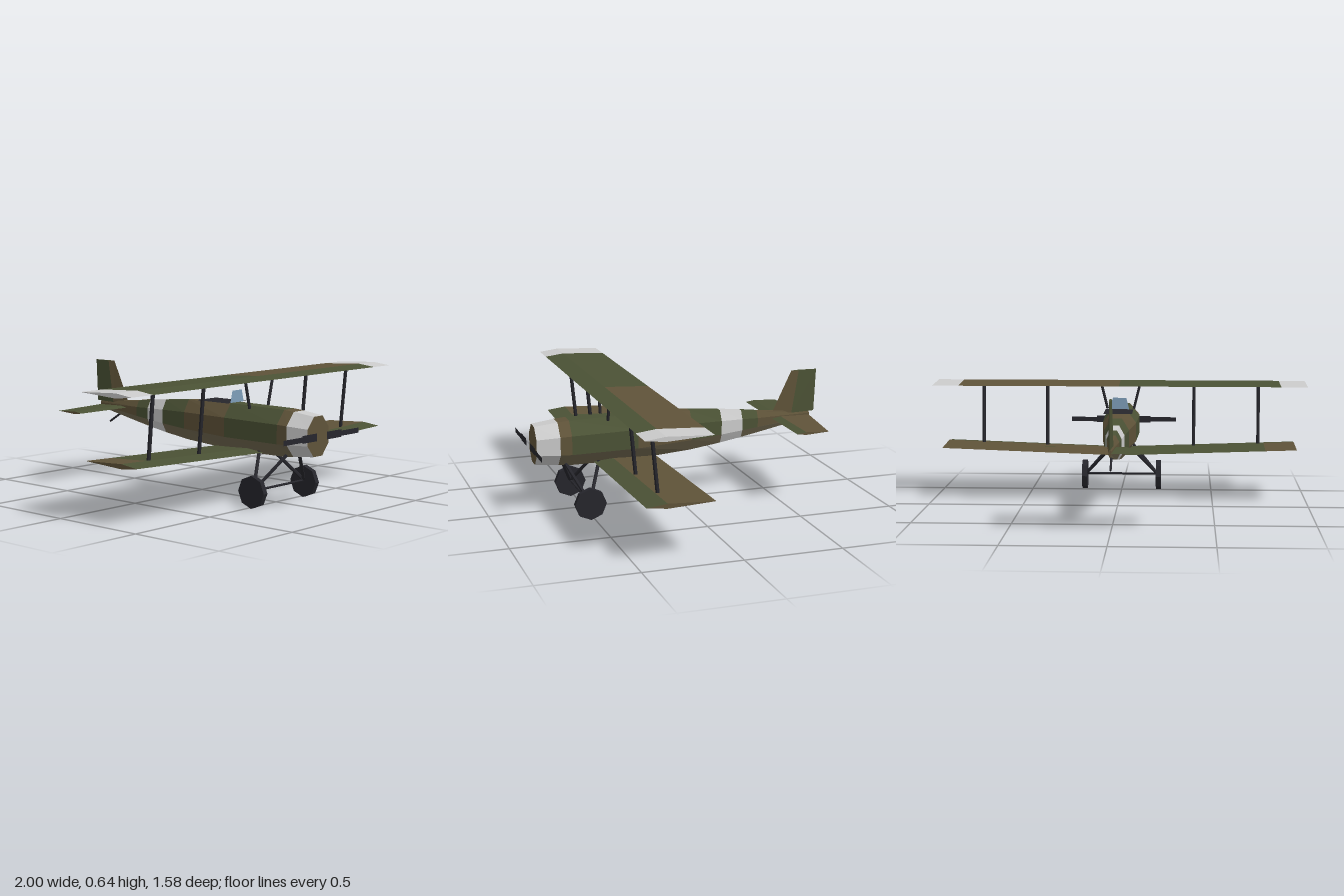
import * as THREE from 'three';

const GREEN = 0x4b5235, BROWN = 0x5f5339, KHAKI = 0x70674f, GREY = 0xcccccc, DARK = 0x26262c, GLASS = 0x7d9db8;
const mat = (color, side = THREE.FrontSide) => new THREE.MeshStandardMaterial({ color, side, flatShading: true });
const v = (x, y, z) => new THREE.Vector3(x, y, z);

// Skins a row of rings; paint(segment, facet) gives each quad its colour, and each colour its own mesh
function loft(name, rings, paint, capColor) {
  const byColor = new Map();
  const add = (color, pts) => {
    if (!byColor.has(color)) byColor.set(color, []);
    for (let i = 1; i < pts.length - 1; i++) byColor.get(color).push(pts[0], pts[i], pts[i + 1]);
  };
  for (let s = 0; s < rings.length - 1; s++) {
    const a = rings[s], b = rings[s + 1], n = a.length;
    for (let k = 0; k < n; k++) {
      const m = (k + 1) % n;
      add(paint(s, k), [a[k], a[m], b[m], b[k]]);
    }
  }
  add(capColor, [...rings[0]].reverse());
  add(capColor, rings[rings.length - 1]);
  const group = new THREE.Group();
  group.name = name;
  for (const [color, pts] of byColor) {
    const geo = new THREE.BufferGeometry().setFromPoints(pts);
    geo.computeVertexNormals();
    const mesh = new THREE.Mesh(geo, mat(color));
    mesh.name = name + 'Panels';
    group.add(mesh);
  }
  return group;
}

// Straight bar between two points
function bar(name, a, b, radius, sides = 6) {
  const mesh = new THREE.Mesh(new THREE.CylinderGeometry(radius, radius, a.distanceTo(b), sides), mat(DARK));
  mesh.position.copy(a).add(b).multiplyScalar(0.5);
  mesh.quaternion.setFromUnitVectors(v(0, 1, 0), b.clone().sub(a).normalize());
  mesh.name = name;
  return mesh;
}

// Thin flat panel from an outline
function sheet(name, points, color) {
  const shape = new THREE.Shape(points.map(([x, y]) => new THREE.Vector2(x, y)));
  const mesh = new THREE.Mesh(new THREE.ShapeGeometry(shape), mat(color, THREE.DoubleSide));
  mesh.name = name;
  return mesh;
}

// Diamond wing section: trailing edge, top ridge, leading edge, bottom ridge
const wingRing = (x, y, trail, ridge, lead, t) =>
  [v(x, y, trail), v(x, y + t, ridge), v(x, y, lead), v(x, y - t, ridge)];

export function createModel() {
  const model = new THREE.Group();

  // Eight-sided fuselage: z, top, bottom, half width, colour of the band ahead
  const stations = [
    [-0.755, 0.41, 0.375, 0.006, BROWN],
    [-0.45, 0.436, 0.318, 0.031, GREEN],
    [-0.36, 0.447, 0.302, 0.038, GREY],
    [-0.24, 0.458, 0.283, 0.048, GREEN],
    [-0.07, 0.472, 0.262, 0.064, BROWN],
    [0.23, 0.481, 0.243, 0.09, GREEN],
    [0.58, 0.477, 0.243, 0.097, BROWN],
    [0.64, 0.472, 0.248, 0.096, GREY],
    [0.76, 0.458, 0.26, 0.083, GREY],
  ];
  const c8 = Math.cos(Math.PI / 8);
  const hull = stations.map(([z, top, bottom, w]) => Array.from({ length: 8 }, (_, k) => {
    const a = (k + 0.5) * Math.PI / 4;
    return v(Math.cos(a) / c8 * w, (top + bottom) / 2 + Math.sin(a) / c8 * (top - bottom) / 2, z);
  }));
  model.add(loft('fuselage', hull, (s, k) => {
    const color = stations[s][4];
    return color !== GREY && k >= 4 && k <= 6 ? KHAKI : color;
  }, BROWN));

  // Upper wing with grey tips
  const upperX = [-1, -0.86, 0, 0.86, 1];
  model.add(loft('upperWing', upperX.map(x => wingRing(x, 0.615, 0.15, 0.38, 0.48, 0.012)), (s, k) => {
    if (s === 0 || s === 3) return GREY;
    if (k >= 2) return KHAKI;
    return k === 0 && s === 2 ? BROWN : GREEN;
  }, GREY));

  // Lower wing with slight dihedral
  const lowerX = [-0.945, -0.78, 0, 0.945];
  model.add(loft('lowerWing', lowerX.map(x =>
    wingRing(x, 0.25 + 0.035 * Math.abs(x), 0.12, 0.355, 0.457, 0.012)), (s, k) => {
    if (k >= 2) return KHAKI;
    return k === 0 && s !== 1 ? BROWN : GREEN;
  }, BROWN));

  // Tailplane
  model.add(loft('tailplane', [-0.36, 0, 0.36].map(x =>
    wingRing(x, 0.39, x ? -0.71 : -0.755, -0.585, -0.535, 0.007)), (s, k) => {
    if (k >= 2) return KHAKI;
    return k === 0 && s === 1 ? BROWN : GREEN;
  }, BROWN));

  // Fin and rudder
  const finRing = (y, lead, ridge, trail, t) => [v(t, y, ridge), v(0, y, trail), v(-t, y, ridge), v(0, y, lead)];
  model.add(loft('fin', [finRing(0.41, -0.54, -0.65, -0.783, 0.012), finRing(0.638, -0.65, -0.69, -0.793, 0.007)],
    (s, k) => (k < 2 ? GREEN : BROWN), GREEN));

  // Cockpit opening and windscreen
  const cockpit = sheet('cockpit', [[-0.075, -0.24], [0.075, -0.24], [0.075, -0.03], [-0.075, -0.03]], DARK);
  cockpit.rotation.x = -Math.PI / 2;
  cockpit.position.y = 0.483;
  const screen = sheet('windscreen', [[-0.052, 0.483], [0.052, 0.483], [0.036, 0.545], [-0.036, 0.545]], GLASS);
  screen.position.z = 0.24;
  model.add(cockpit, screen);

  for (const s of [-1, 1]) {
    // Wing struts
    for (const x of [0.4, 0.75])
      model.add(bar('wingStrut', v(s * x, 0.25 + 0.035 * x, 0.34), v(s * x, 0.612, 0.372), 0.01));
    model.add(bar('centreStrut', v(s * 0.072, 0.47, 0.385), v(s * 0.107, 0.612, 0.385), 0.008));

    // Landing gear legs and wheel
    for (const z of [0.605, 0.43])
      model.add(bar('gearLeg', v(s * 0.05, 0.255, z), v(s * 0.2, 0.087, 0.52), 0.009));
    const wheel = new THREE.Mesh(new THREE.CylinderGeometry(0.082, 0.082, 0.028, 8), mat(DARK));
    wheel.rotation.z = Math.PI / 2;
    wheel.position.set(s * 0.206, 0.082, 0.52);
    wheel.name = 'wheel';
    model.add(wheel);

    // Propeller blade, wider near the hub
    const blade = sheet('propellerBlade', [[0.04, 0.342], [0.155, 0.342], [0.155, 0.347], [0.3, 0.347],
      [0.3, 0.373], [0.155, 0.373], [0.155, 0.38], [0.04, 0.38]].map(([x, y]) => [s * x, y]), DARK);
    blade.position.z = 0.785;
    model.add(blade);
  }
  model.add(bar('axle', v(-0.2, 0.087, 0.52), v(0.2, 0.087, 0.52), 0.006));
  model.add(bar('tailSkid', v(0, 0.36, -0.59), v(0, 0.3, -0.687), 0.006));

  return model;
}
